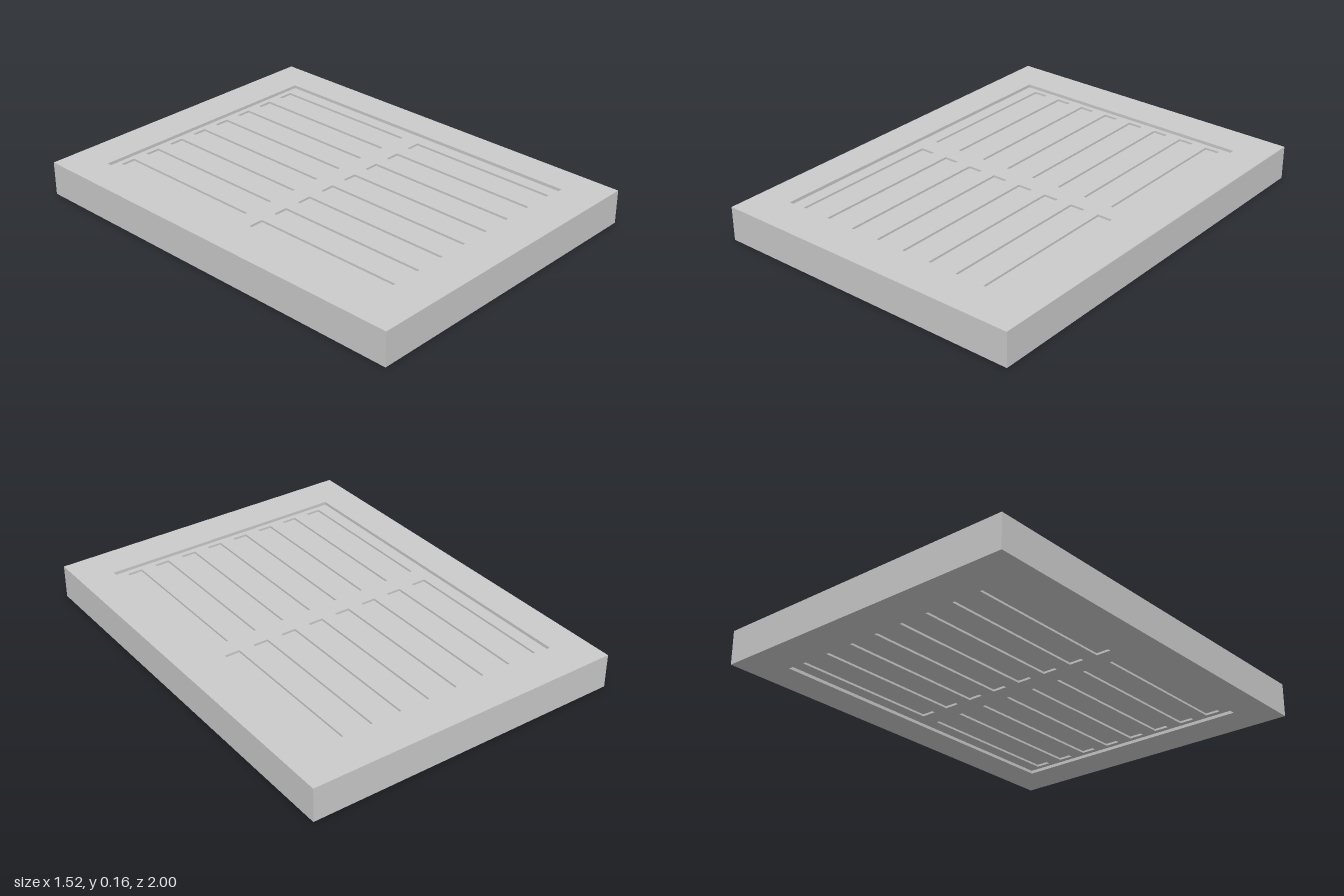
import * as THREE from 'three';

const WIDTH = 1.52, LENGTH = 2, HEIGHT = 0.16;
const PANEL_W = 1.2, PANEL_L = 1.63;
const RECESS = 0.015;      // panel face below the frame face
const SLOT_DEPTH = 0.01;   // slot floor below the panel face
const SLOTS = 8, SLOT_W = 0.072, PITCH = 0.144;
const SLOT_INNER = 0.045, SLOT_OUTER = 0.79;

const material = new THREE.MeshStandardMaterial({ color: 0xcccccc, flatShading: true });

// Rectangle centred on (cx, cy), as a Shape or a hole Path
function rect(Type, w, h, cx = 0, cy = 0) {
  return new Type([
    [-w, -h], [w, -h], [w, h], [-w, h],
  ].map(([x, y]) => new THREE.Vector2(cx + x / 2, cy + y / 2)));
}

// Flat plate lying in xz with its underside at y
function plate(name, shape, y, thickness) {
  const geometry = new THREE.ExtrudeGeometry(shape, { depth: thickness, bevelEnabled: false });
  geometry.rotateX(-Math.PI / 2);
  geometry.translate(0, y, 0);
  const mesh = new THREE.Mesh(geometry, material);
  mesh.name = name;
  return mesh;
}

export function createModel() {
  const group = new THREE.Group();
  group.name = 'ventGrille';

  // Plain outer frame
  const frame = rect(THREE.Shape, WIDTH, LENGTH);
  frame.holes.push(rect(THREE.Path, PANEL_W, PANEL_L));
  group.add(plate('frame', frame, 0, HEIGHT));

  // Slotted faces: two rows of long slots, the same above and below
  const slotted = rect(THREE.Shape, PANEL_W, PANEL_L);
  const slotLength = SLOT_OUTER - SLOT_INNER;
  for (const side of [-1, 1]) {
    for (let i = 0; i < SLOTS; i++) {
      const x = (i - (SLOTS - 1) / 2) * PITCH;
      const z = side * (SLOT_INNER + SLOT_OUTER) / 2;
      slotted.holes.push(rect(THREE.Path, SLOT_W, slotLength, x, z));
    }
  }
  group.add(plate('topSlottedFace', slotted, HEIGHT - RECESS - SLOT_DEPTH, SLOT_DEPTH));
  group.add(plate('bottomSlottedFace', slotted, RECESS, SLOT_DEPTH));

  // Solid core forming the slot floors
  const inset = RECESS + SLOT_DEPTH;
  group.add(plate('core', rect(THREE.Shape, PANEL_W, PANEL_L), inset, HEIGHT - 2 * inset));

  return group;
}
